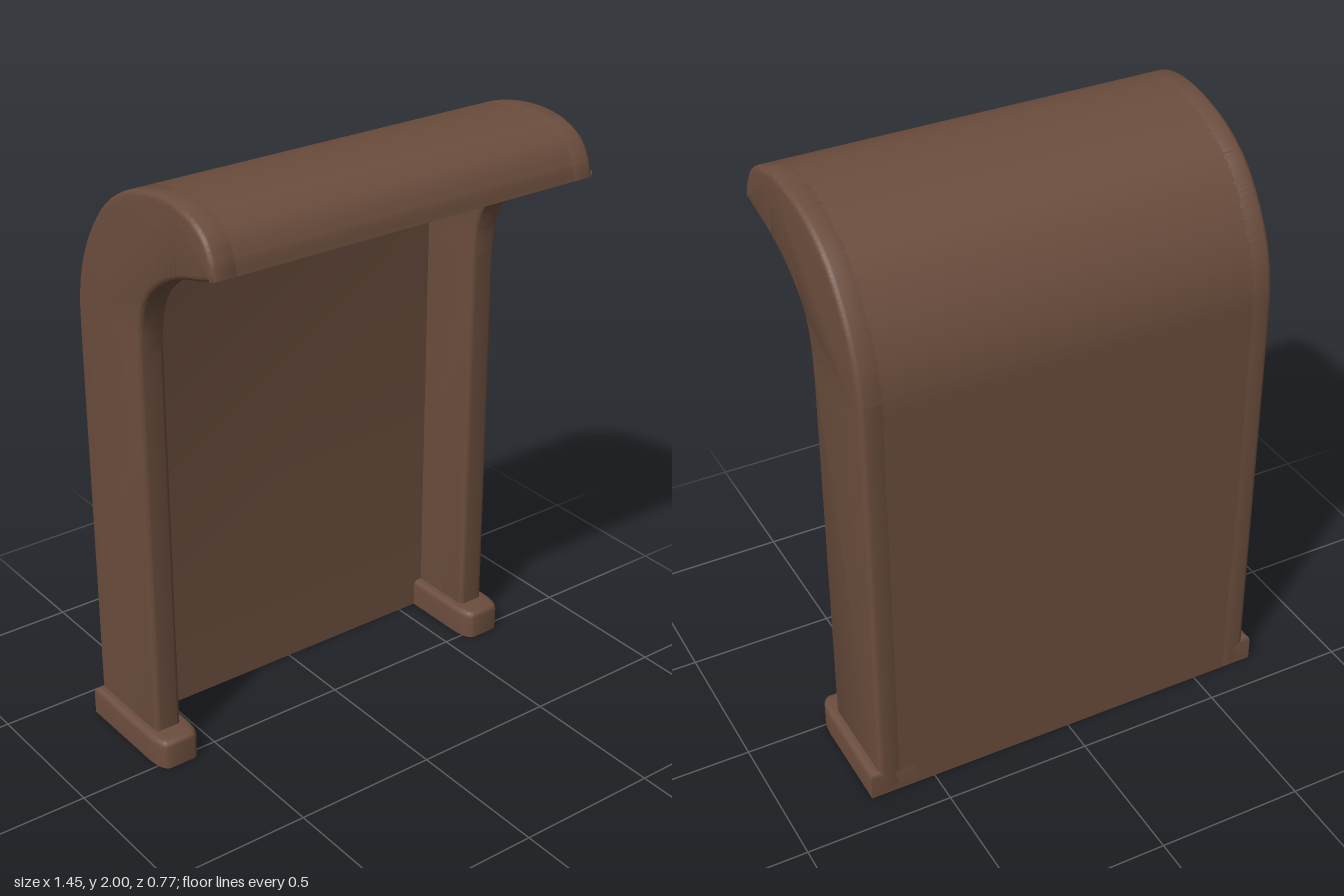
import * as THREE from 'three';
import { toCreasedNormals } from 'three/addons/utils/BufferGeometryUtils.js';

const V = (z, y) => new THREE.Vector2(z, y);
const BEVEL = 0.018;

// Back and hood top, from the ground up to the front lip
function startOutline() {
  const s = new THREE.Shape();
  s.moveTo(-0.385, 0);
  s.lineTo(-0.385, 1.42);
  s.splineThru([V(-0.38, 1.53), V(-0.355, 1.64), V(-0.3, 1.755), V(-0.21, 1.87), V(-0.1, 1.945),
    V(0.03, 1.988), V(0.16, 2.0), V(0.26, 1.985), V(0.335, 1.945), V(0.375, 1.885), V(0.388, 1.83)]);
  return s;
}

// Extrude a (z, y) profile along x, centred on x = 0
function extrudeAcross(shape, width, bevel) {
  const g = new THREE.ExtrudeGeometry(shape, {
    depth: width - 2 * bevel, curveSegments: 36, bevelEnabled: bevel > 0,
    bevelThickness: bevel, bevelSize: bevel, bevelOffset: -bevel, bevelSegments: 4,
  });
  g.translate(0, 0, -(width - 2 * bevel) / 2);
  g.rotateY(-Math.PI / 2);
  return g;
}

export function createModel() {
  const group = new THREE.Group();
  const brown = new THREE.MeshStandardMaterial({ color: 0x6b4d3d });
  brown.name = 'brown';
  const add = (name, geometry) => {
    const mesh = new THREE.Mesh(toCreasedNormals(geometry, 0.6), brown);
    mesh.name = name;
    group.add(mesh);
  };

  // Thin back panel curving forward into the hood
  const panel = startOutline();
  panel.splineThru([V(0.33, 1.822), V(0.2, 1.808), V(0.05, 1.785), V(-0.1, 1.748), V(-0.2, 1.7),
    V(-0.25, 1.65), V(-0.27, 1.57)]);
  panel.lineTo(-0.27, 0);
  panel.closePath();
  add('backPanelAndHood', extrudeAcross(panel, 1.25, 0));

  // Deeper side posts with softened edges
  const post = startOutline();
  post.splineThru([V(0.32, 1.808), V(0.2, 1.772), V(0.09, 1.715), V(0.01, 1.64), V(-0.028, 1.55),
    V(-0.04, 1.43)]);
  post.lineTo(-0.04, 0);
  post.closePath();

  // Foot plan, rounded toward the front and square at the back
  const foot = new THREE.Shape();
  foot.moveTo(-0.078, 0.385);
  foot.lineTo(-0.078, 0.05);
  foot.quadraticCurveTo(-0.076, -0.03, -0.045, -0.035);
  foot.lineTo(0.045, -0.035);
  foot.quadraticCurveTo(0.076, -0.03, 0.078, 0.05);
  foot.lineTo(0.078, 0.385);
  foot.closePath();

  for (const side of [1, -1]) {
    const label = side > 0 ? 'left' : 'right';

    const postGeo = extrudeAcross(post, 0.095, BEVEL);
    postGeo.translate(side * 0.6475, 0, 0);
    // the hood ends flare outward slightly toward the lip
    const p = postGeo.attributes.position;
    for (let i = 0; i < p.count; i++) {
      p.setX(i, p.getX(i) + side * 0.025 * Math.max(p.getZ(i), 0));
    }
    add(label + 'Post', postGeo);

    const footGeo = new THREE.ExtrudeGeometry(foot, {
      depth: 0.08, curveSegments: 8, bevelThickness: 0.02, bevelSize: 0.02,
      bevelOffset: -0.02, bevelSegments: 4,
    });
    footGeo.rotateX(-Math.PI / 2);
    footGeo.translate(side * 0.647, 0, 0);
    // flat underside
    const f = footGeo.attributes.position;
    for (let i = 0; i < f.count; i++) f.setY(i, Math.max(f.getY(i), 0));
    add(label + 'Foot', footGeo);
  }
  return group;
}
